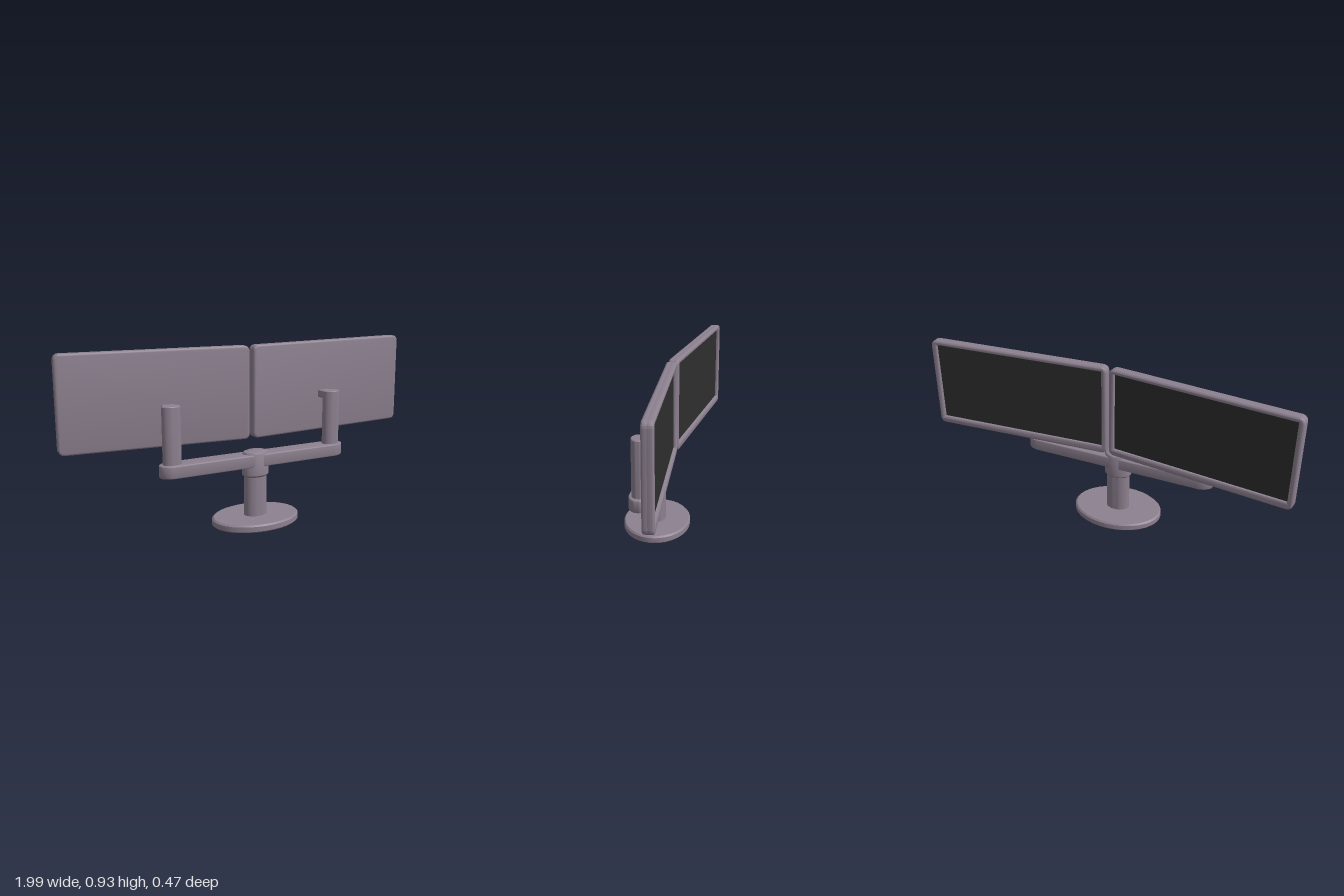
import * as THREE from 'three';
import { toCreasedNormals } from 'three/addons/utils/BufferGeometryUtils.js';
import { RoundedBoxGeometry } from 'three/addons/geometries/RoundedBoxGeometry.js';

const casing = new THREE.MeshStandardMaterial({ color: 0x8d8190 });
casing.name = 'mauve grey casing';
const glass = new THREE.MeshStandardMaterial({ color: 0x2e2e2e });
glass.name = 'dark screen';

function add(parent, name, geometry, material = casing, x = 0, y = 0, z = 0) {
  const mesh = new THREE.Mesh(geometry, material);
  mesh.name = name;
  mesh.position.set(x, y, z);
  parent.add(mesh);
  return mesh;
}

function turned(points) {
  const profile = points.map(([r, y]) => new THREE.Vector2(r, y));
  return toCreasedNormals(new THREE.LatheGeometry(profile, 32), 0.6);
}

// Rounded rectangle drawn between two corners
function roundedRect(path, x0, y0, x1, y1, r) {
  path.moveTo(x0 + r, y0);
  path.lineTo(x1 - r, y0);
  path.absarc(x1 - r, y0 + r, r, -Math.PI / 2, 0);
  path.lineTo(x1, y1 - r);
  path.absarc(x1 - r, y1 - r, r, 0, Math.PI / 2);
  path.lineTo(x0 + r, y1);
  path.absarc(x0 + r, y1 - r, r, Math.PI / 2, Math.PI);
  path.lineTo(x0, y0 + r);
  path.absarc(x0 + r, y0 + r, r, Math.PI, Math.PI * 1.5);
  return path;
}

// Extrusion spanning z0..z1 with bevels included
function slab(shape, z0, z1, bevel) {
  const g = new THREE.ExtrudeGeometry(shape, {
    depth: z1 - z0 - 2 * bevel, bevelEnabled: true, bevelThickness: bevel,
    bevelSize: bevel, bevelSegments: 3, curveSegments: 8,
  });
  g.translate(0, 0, z0 + bevel);
  return toCreasedNormals(g, 0.6);
}

function makeMonitor(name) {
  const monitor = new THREE.Group();
  monitor.name = name;
  const b = 0.01, w = 0.4975 - b, h = 0.2475 - b;
  const outline = () => roundedRect(new THREE.Shape(), -w, -h, w, h, 0.02);
  add(monitor, 'monitorHousing', slab(outline(), -0.008, 0.0275, b));

  // Raised bezel around the recessed screen
  const ring = outline();
  ring.holes.push(roundedRect(new THREE.Path(), -w + 0.009, -h + 0.018, w - 0.009, h - 0.005, 0.006));
  add(monitor, 'bezel', slab(ring, -0.0275, 0.012, b));
  add(monitor, 'screen', new THREE.BoxGeometry(0.95, 0.445, 0.004), glass, 0, 0.005, -0.0085);
  return monitor;
}

export function createModel() {
  const model = new THREE.Group();
  model.name = 'dualMonitorStand';

  // Stand parts are oval: turned round, then widened along x
  const stand = new THREE.Group();
  stand.name = 'stand';
  stand.position.set(-0.025, 0, 0.053);
  stand.scale.x = 1.36;
  model.add(stand);

  add(stand, 'base', turned([[0, 0], [0.176, 0], [0.181, 0.006], [0.181, 0.032], [0.174, 0.04], [0, 0.04]]));
  add(stand, 'column', turned([[0, 0.03], [0.047, 0.03], [0.047, 0.27], [0, 0.27]]));
  add(stand, 'collar', turned([
    [0, 0.252], [0.048, 0.252], [0.055, 0.262], [0.055, 0.374], [0.05, 0.384], [0.036, 0.39], [0, 0.392],
  ]));

  // Crossbar with round ends, swivelled slightly
  const half = 0.346, swivel = 0.0925, r = 0.044;
  const bar = new THREE.Shape();
  bar.absarc(half, 0, r, -Math.PI / 2, Math.PI / 2);
  bar.absarc(-half, 0, r, Math.PI / 2, Math.PI * 1.5);
  const barGeometry = slab(bar, 0.308, 0.375, 0.007);
  barGeometry.rotateX(-Math.PI / 2).rotateY(-swivel);
  add(stand, 'crossbar', barGeometry);

  // Posts at both ends of the bar
  for (const side of [-1, 1]) {
    add(stand, side > 0 ? 'leftPost' : 'rightPost',
      turned([[0, 0.36], [0.0365, 0.36], [0.0365, 0.664], [0.033, 0.668], [0, 0.668]]),
      casing, side * half * Math.cos(swivel), 0, side * half * Math.sin(swivel));
  }

  // Brackets reaching back from the posts
  const bracket = new RoundedBoxGeometry(0.072, 0.042, 0.07, 3, 0.008);
  add(model, 'leftBracket', bracket, casing, 0.452, 0.641, 0.033);
  add(model, 'rightBracket', bracket, casing, -0.479, 0.641, -0.022).rotation.y = -0.175;

  // Two monitors, one angled inward
  const left = makeMonitor('leftMonitor');
  left.position.set(0.5, 0.683, -0.03);
  const right = makeMonitor('rightMonitor');
  right.position.set(-0.504, 0.683, -0.121);
  right.rotation.y = -0.176;
  model.add(left, right);

  return model;
}
